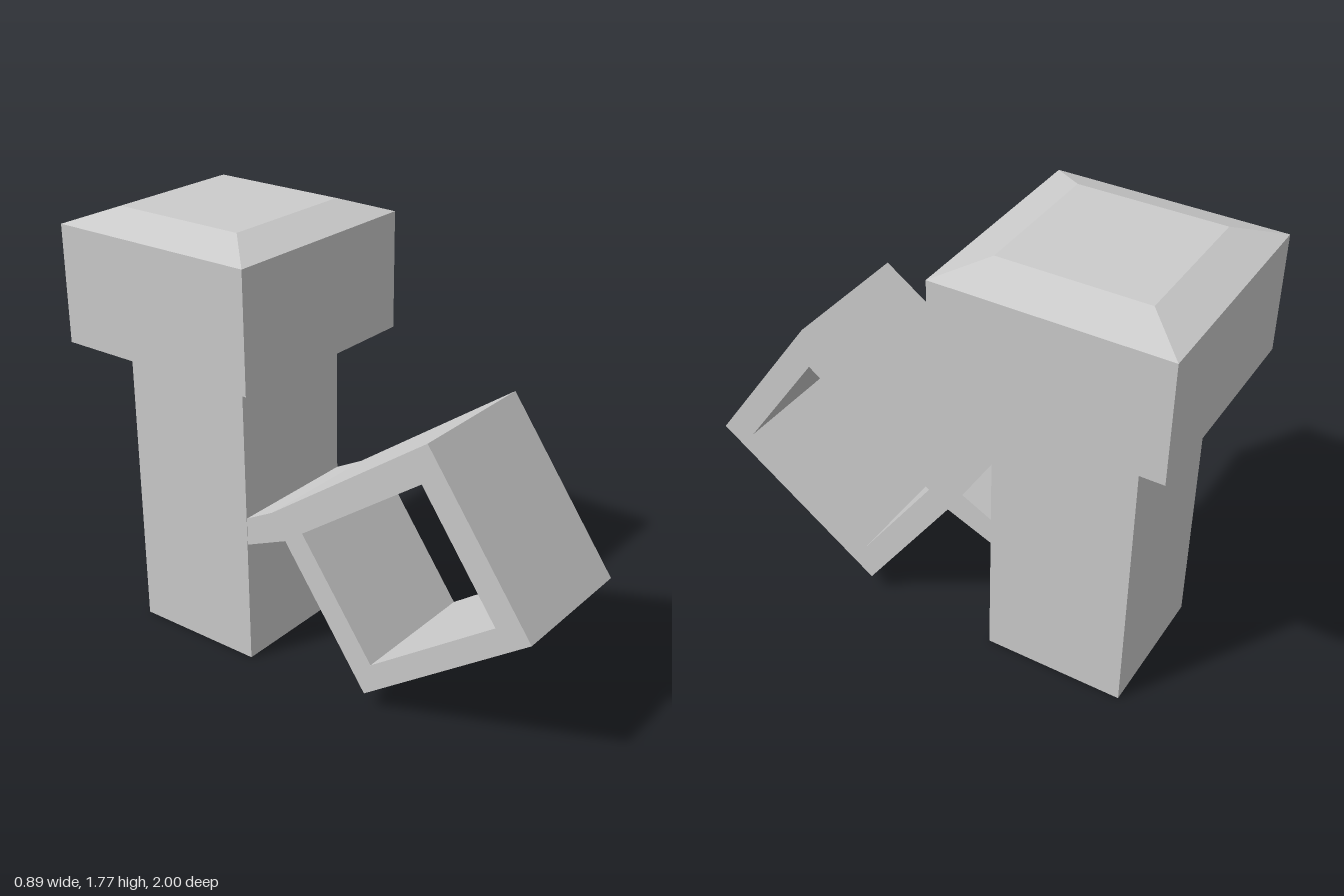
import * as THREE from 'three';

const material = new THREE.MeshStandardMaterial({ color: 0xcccccc, flatShading: true });
const POST = 0.285; // half width of the post
const CAP = 0.445;  // half width of the cap
const POST_Z = -0.555;

// Square-section solid from a profile of [half width, y], bottom to top
function squareTurned(name, profile) {
  const points = profile.map(([w, y]) => new THREE.Vector2(w * Math.SQRT2, y));
  const geometry = new THREE.LatheGeometry(points, 4, Math.PI / 4).toNonIndexed();
  geometry.computeVertexNormals();
  const mesh = new THREE.Mesh(geometry, material);
  mesh.name = name;
  mesh.position.z = POST_Z;
  return mesh;
}

const toPoints = (list) => list.map(([z, y]) => new THREE.Vector2(z, y));

export function createModel() {
  const model = new THREE.Group();
  model.name = 'postWithLoop';

  // Post, running up into the underside of the cap
  model.add(squareTurned('post', [[0, 0], [POST, 0], [POST, 1.335]]));

  // Cap with a sloping underside and a bevelled top
  model.add(squareTurned('cap', [
    [POST, 1.335], [CAP, 1.24], [CAP, 1.71], [POST, 1.77], [0, 1.77],
  ]));

  // Tilted square loop with its short neck, drawn in side profile (z, y)
  const profile = new THREE.Shape(toPoints([
    [0.555, 1.19], [-0.145, 0.7], [-0.27, 0.635], [-0.27, 0.52],
    [-0.08, 0.6], [0.295, 0.065], [1, 0.56],
  ]));
  profile.holes.push(new THREE.Path(toPoints([
    [0.535, 1.03], [0.855, 0.575], [0.325, 0.205], [0.003, 0.66],
  ])));
  const width = 2 * POST - 0.004;
  const geometry = new THREE.ExtrudeGeometry(profile, { depth: width, bevelEnabled: false });
  geometry.translate(0, 0, -width / 2).rotateY(-Math.PI / 2);
  const loop = new THREE.Mesh(geometry, material);
  loop.name = 'loop';
  model.add(loop);

  return model;
}
